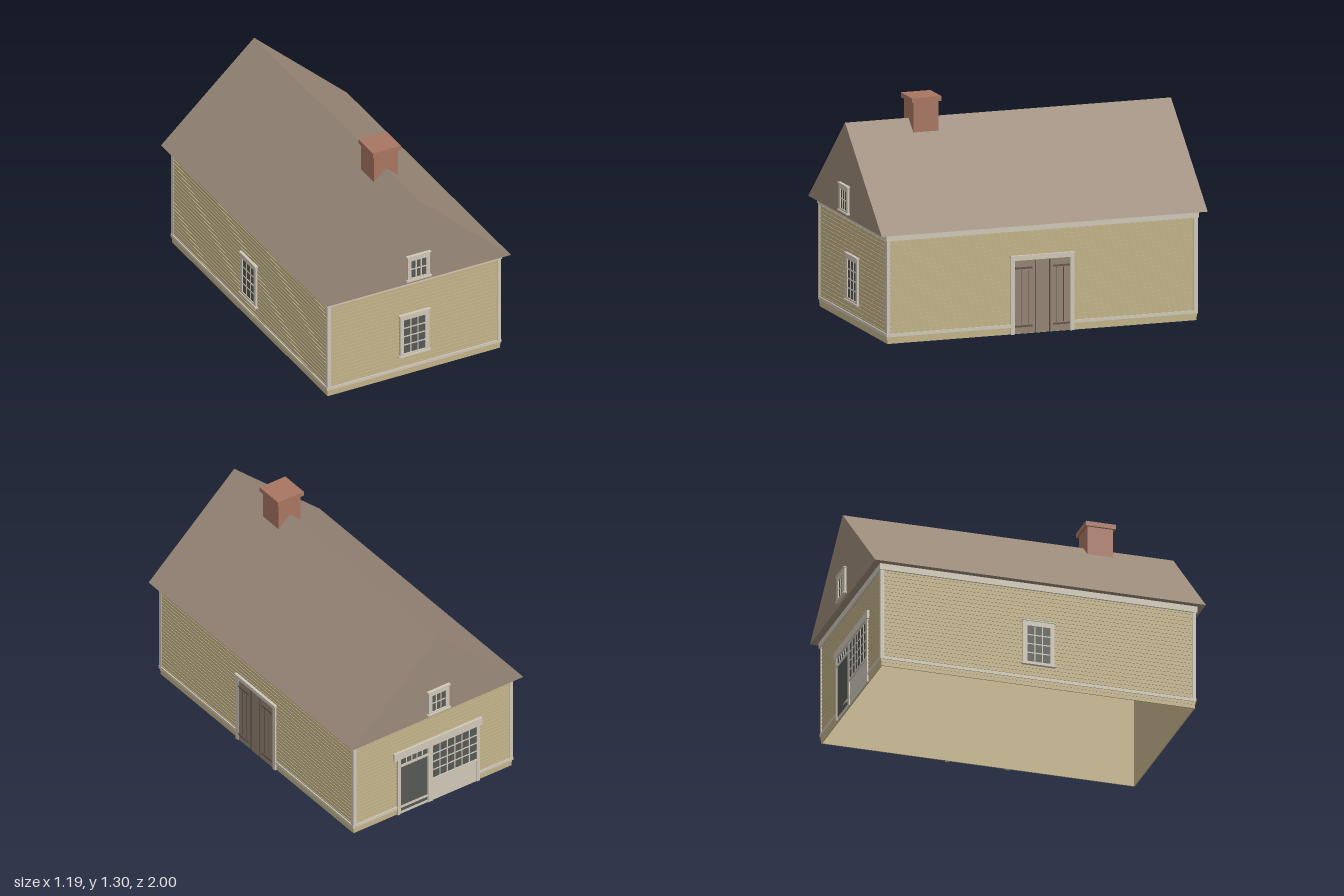
import * as THREE from 'three';

const mat = (name, color) => {
  const m = new THREE.MeshStandardMaterial({ color });
  m.name = name;
  return m;
};

export function createModel() {
  const siding = mat('sand clapboard', 0xc2b288);
  const trim = mat('stone trim', 0xcfc7b7);
  const roofing = mat('brown roofing', 0x9a8979);
  const brick = mat('red brick', 0xa87562);
  const glass = mat('dark glass', 0x555854);
  const plank = mat('weathered planks', 0x938373);
  const iron = mat('dark iron', 0x5c554c);

  const house = new THREE.Group();
  house.name = 'house';
  const W = 0.55, D = 0.93, EAVE = 0.63;

  // Box given by its limits on each axis
  const box = (parent, name, m, x0, x1, y0, y1, z0, z1) => {
    const mesh = new THREE.Mesh(new THREE.BoxGeometry(x1 - x0, y1 - y0, z1 - z0), m);
    mesh.position.set((x0 + x1) / 2, (y0 + y1) / 2, (z0 + z1) / 2);
    mesh.name = name;
    parent.add(mesh);
    return mesh;
  };

  // Group whose local +z points out of a wall, with z = 0 on the wall face
  const onWall = (name, angle, dist) => {
    const g = new THREE.Group();
    g.name = name;
    g.rotation.y = angle;
    g.position.set(Math.sin(angle) * dist, 0, Math.cos(angle) * dist);
    house.add(g);
    return g;
  };

  // Glass pane with a grid of thin bars
  const glazing = (g, x0, x1, y0, y1, cols, rows, z, bar = 0.007) => {
    box(g, 'glass', glass, x0, x1, y0, y1, z - 0.004, z);
    for (let i = 1; i < cols; i++) {
      const x = x0 + (x1 - x0) * i / cols;
      box(g, 'muntin', trim, x - bar / 2, x + bar / 2, y0, y1, z, z + 0.003);
    }
    for (let j = 1; j < rows; j++) {
      const y = y0 + (y1 - y0) * j / rows;
      box(g, 'muntin', trim, x0, x1, y - bar / 2, y + bar / 2, z, z + 0.0029);
    }
  };

  // Walls, lapped boards and trim on each side; the bottom is open
  const sides = [[0, D, W, 'front'], [Math.PI / 2, W, D, 'left'],
    [Math.PI, D, W, 'back'], [-Math.PI / 2, W, D, 'right']];
  for (const [angle, dist, half, label] of sides) {
    const g = onWall(label + 'Wall', angle, dist);
    box(g, 'wall', siding, -half, half, 0, EAVE, -0.006, 0);
    for (let i = 0; i < 23; i++) {
      const y = 0.066 + i * 0.0235;
      box(g, 'boardEdge', siding, -half + 0.02, half - 0.02, y - 0.003, y + 0.003, 0, 0.003);
    }
    box(g, 'plinthBoard', siding, -half - 0.002, half + 0.002, 0.022, 0.04, 0, 0.002);
    box(g, 'baseTrim', trim, -half - 0.007, half + 0.007, 0.04, 0.058, 0, 0.007);
    box(g, 'frieze', trim, -half - 0.01, half + 0.01, 0.593, EAVE, 0, 0.01);
    for (const s of [-1, 1]) {
      const a = s * (half + 0.005), b = s * (half - 0.018);
      box(g, 'cornerBoard', trim, Math.min(a, b), Math.max(a, b), 0.04, 0.6, 0, 0.005);
    }
  }
  box(house, 'ceiling', siding, -W, W, 0.618, 0.628, -D, D);

  // Solid gabled roof
  const gable = new THREE.Shape([
    new THREE.Vector2(-0.595, EAVE), new THREE.Vector2(0.595, EAVE), new THREE.Vector2(0, 1.17)]);
  const roof = new THREE.Mesh(
    new THREE.ExtrudeGeometry(gable, { depth: 1.96, bevelEnabled: false }), roofing);
  roof.position.z = -0.98;
  roof.name = 'roof';
  house.add(roof);

  // Chimney, running down through the ceiling
  box(house, 'chimney', brick, -0.077, 0.077, 0.48, 1.275, 0.446, 0.598);
  box(house, 'chimneyCap', brick, -0.089, 0.089, 1.272, 1.3, 0.433, 0.611);

  // Framed windows
  const makeWindow = (name, angle, dist, fw, y0, y1, gw, g0, g1, rows) => {
    const g = onWall(name, angle, dist);
    for (const s of [-1, 1]) {
      box(g, 'frameSide', trim, s > 0 ? gw : -fw, s > 0 ? fw : -gw, y0, y1, 0, 0.013);
    }
    box(g, 'frameTop', trim, -gw, gw, g1, y1, 0, 0.013);
    box(g, 'frameBottom', trim, -gw, gw, y0, g0, 0, 0.013);
    box(g, 'head', trim, -fw - 0.006, fw + 0.006, y1 - 0.007, y1, 0, 0.019);
    box(g, 'sill', trim, -fw - 0.008, fw + 0.008, y0 - 0.003, y0 + 0.006, 0, 0.02);
    glazing(g, -gw, gw, g0, g1, 3, rows, 0.007);
  };
  makeWindow('frontWindow', 0, D, 0.093, 0.13, 0.404, 0.069, 0.147, 0.368, 4);
  makeWindow('rightWindow', -Math.PI / 2, W, 0.093, 0.13, 0.404, 0.069, 0.147, 0.368, 4);
  for (const a of [0, Math.PI]) {
    makeWindow('gableWindow', a, 0.98, 0.071, 0.655, 0.817, 0.048, 0.67, 0.782, 2);
  }

  // Plank door with frame, seams and strap hinges
  const door = onWall('plankDoor', Math.PI / 2, W);
  box(door, 'leaf', plank, -0.166, 0.166, 0.003, 0.424, 0, 0.008);
  for (const s of [-1, 1]) {
    box(door, 'jamb', trim, s > 0 ? 0.166 : -0.19, s > 0 ? 0.19 : -0.166, 0, 0.45, 0, 0.013);
    for (const [p, w, y0, y1] of [[0.126, 0.003, 0.055, 0.37], [0.085, 0.003, 0.055, 0.37],
      [0.043, 0.006, 0.003, 0.424]]) {
      box(door, 'seam', iron, s * p - w / 2, s * p + w / 2, y0, y1, 0.008, 0.01);
    }
    for (const y of [0.045, 0.38]) {
      box(door, 'hinge', iron, s * 0.113 - 0.051, s * 0.113 + 0.051, y - 0.005, y + 0.005, 0.008, 0.013);
    }
  }
  box(door, 'lintel', trim, -0.166, 0.166, 0.424, 0.45, 0, 0.013);
  box(door, 'lintelCap', trim, -0.194, 0.194, 0.444, 0.453, 0, 0.017);

  // Shopfront with glazed door, transom and display window
  const shop = onWall('shopfront', Math.PI, D);
  box(shop, 'panel', trim, -0.25, 0.32, 0, 0.4, 0, 0.006);
  box(shop, 'header', trim, -0.275, 0.335, 0.388, 0.437, 0, 0.016);
  for (const [a, b] of [[-0.25, -0.23], [-0.036, -0.006], [0.3, 0.32]]) {
    box(shop, 'pilaster', trim, a, b, 0, 0.39, 0, 0.011);
  }
  box(shop, 'shopSill', trim, -0.006, 0.32, 0.145, 0.158, 0, 0.013);
  glazing(shop, -0.006, 0.3, 0.158, 0.38, 6, 4, 0.007);
  glazing(shop, -0.225, -0.041, 0.345, 0.38, 5, 1, 0.007);
  box(shop, 'doorRail', trim, -0.23, -0.036, 0.328, 0.345, 0, 0.011);
  box(shop, 'doorGlass', glass, -0.225, -0.041, 0.02, 0.328, 0, 0.007);

  return house;
}
